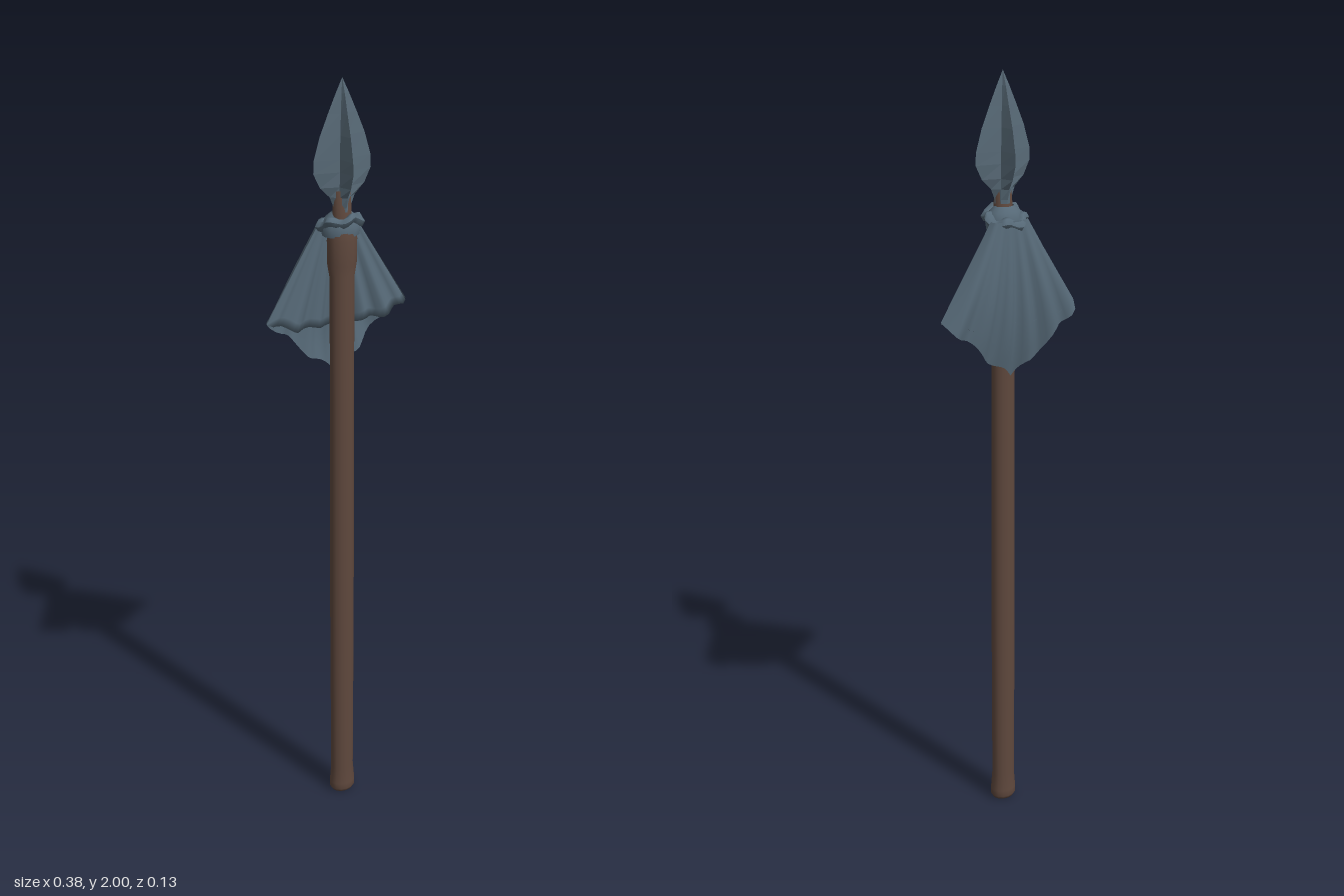
import * as THREE from 'three';

const wood = new THREE.MeshStandardMaterial({ color: 0x5f483d });
wood.name = 'brown wood';
const steel = new THREE.MeshStandardMaterial({ color: 0x586a77 });
steel.name = 'blue grey steel';
const cloth = new THREE.MeshStandardMaterial({ color: 0x566977, side: THREE.DoubleSide });
cloth.name = 'blue grey cloth';

// Grid surface from a point rule: i runs sideways, j runs upwards
function sheet(nu, nv, rule, flat) {
  const pos = [], idx = [];
  for (let j = 0; j <= nv; j++) for (let i = 0; i <= nu; i++) pos.push(...rule(i, j));
  for (let j = 0; j < nv; j++) for (let i = 0; i < nu; i++) {
    const a = j * (nu + 1) + i, b = a + 1, c = a + nu + 1, d = c + 1;
    idx.push(a, b, d, a, d, c);
  }
  let geo = new THREE.BufferGeometry();
  geo.setAttribute('position', new THREE.Float32BufferAttribute(pos, 3));
  geo.setIndex(idx);
  if (flat) geo = geo.toNonIndexed();
  geo.computeVertexNormals();
  return geo;
}

function lathe(profile, sides) {
  return new THREE.LatheGeometry(profile.map(([r, y]) => new THREE.Vector2(r, y)), sides);
}

export function createModel() {
  const model = new THREE.Group();
  model.name = 'spear';
  const add = (name, geo, mat, x = 0, z = 0) => {
    const mesh = new THREE.Mesh(geo, mat);
    mesh.name = name;
    mesh.position.set(x, 0, z);
    model.add(mesh);
    return mesh;
  };

  // Shaft with a flared foot, a swollen top and a thin neck
  const shaft = add('shaft', lathe([[0, 0], [0.03, 0.002], [0.036, 0.012], [0.036, 0.03],
    [0.032, 0.08], [0.033, 0.6], [0.031, 1.2], [0.032, 1.53], [0.037, 1.56], [0.038, 1.62],
    [0.033, 1.65], [0.024, 1.68], [0.022, 1.74], [0, 1.75]], 14), wood, -0.004, 0.017);
  shaft.scale.z = 0.83;

  // Four-bladed head: star section, deep between the blades
  const head = [[0.023, 0.022, 0.02], [0.023, 0.022, 0.02], [0.033, 0.028, 0.02], [0.058, 0.044, 0.019],
    [0.075, 0.056, 0.018], [0.074, 0.055, 0.017], [0.058, 0.043, 0.014], [0.037, 0.027, 0.01],
    [0.017, 0.013, 0.006], [0, 0, 0]];
  const headY = [1.69, 1.7, 1.725, 1.75, 1.785, 1.815, 1.87, 1.92, 1.965, 2];
  add('spearHead', sheet(8, 9, (i, j) => {
    const a = i * Math.PI / 4, [rx, rz, valley] = head[j];
    const kx = i % 2 ? valley : rx, kz = i % 2 ? valley : rz;
    return [Math.sin(a) * kx, headY[j], Math.cos(a) * kz];
  }, true), steel, -0.003, 0.016);

  // Ruffled collar, higher at the front
  const ring = new THREE.TorusGeometry(0.045, 0.013, 6, 32).rotateX(Math.PI / 2);
  const p = ring.attributes.position;
  for (let i = 0; i < p.count; i++) {
    const x = p.getX(i), z = p.getZ(i), a = Math.atan2(x, z);
    const k = 1 + 0.09 * Math.cos(7 * a);
    p.setXYZ(i, x * k, 1.658 + p.getY(i) + z * 0.25 + 0.006 * Math.sin(5 * a), z * k * 0.8);
  }
  ring.computeVertexNormals();
  add('clothCollar', ring, cloth, -0.002, 0.004);
  const wrap = add('collarWrap', lathe([[0.047, 1.63], [0.05, 1.65], [0.04, 1.672], [0.024, 1.685]], 14),
    cloth, -0.002, 0.007);
  wrap.scale.z = 0.8;

  // Hanging cloth: fan from the collar down to the hem, folds growing towards the hem
  const nu = 32, nv = 12;
  const round = (u) => Math.sqrt(Math.max(0, 1 - u ** 6));
  const spreadX = (u, v) => u * (0.05 + 0.14 * v);
  add('clothBack', sheet(nu, nv, (i, j) => {
    const u = 1 - 2 * i / nu, v = 1 - j / nv, m = Math.abs(u);
    const hem = 1.265 + 0.165 * m ** 1.1 + 0.009 * Math.sin(4 * Math.PI * m);
    const bulge = (0.5 + 0.5 * Math.sin(Math.min(1, v * 1.3) * Math.PI / 2)) * (1 - 0.65 * (1 - m) * v ** 4);
    const fold = 0.011 * v * Math.cos(5.5 * Math.PI * u + 0.4) * (1 - 0.6 * v ** 4 * (1 - m));
    return [spreadX(u, v), 1.655 + (hem - 1.655) * v, -0.015 + (fold - 0.04 * bulge) * round(u)];
  }), cloth);

  // Front layer ends in a shorter hem that turns in towards the back layer
  add('clothFront', sheet(nu, nv + 1, (i, j) => {
    const u = 2 * i / nu - 1, v = Math.min(1, 1 - (j - 1) / nv), m = Math.abs(u);
    const hem = 1.398 + 0.032 * m ** 4 + 0.005 * Math.cos(5 * Math.PI * u);
    const fold = 0.01 * v * Math.cos(6 * Math.PI * u);
    const front = (0.016 * Math.min(1, m * 2) * v + fold) * round(u);
    if (j === 0) return [spreadX(u, 0.97), hem + 0.005, -0.015 - 0.03 * round(u)];
    return [spreadX(u, v), 1.655 + (hem - 1.655) * v, -0.015 + front];
  }), cloth);

  return model;
}
